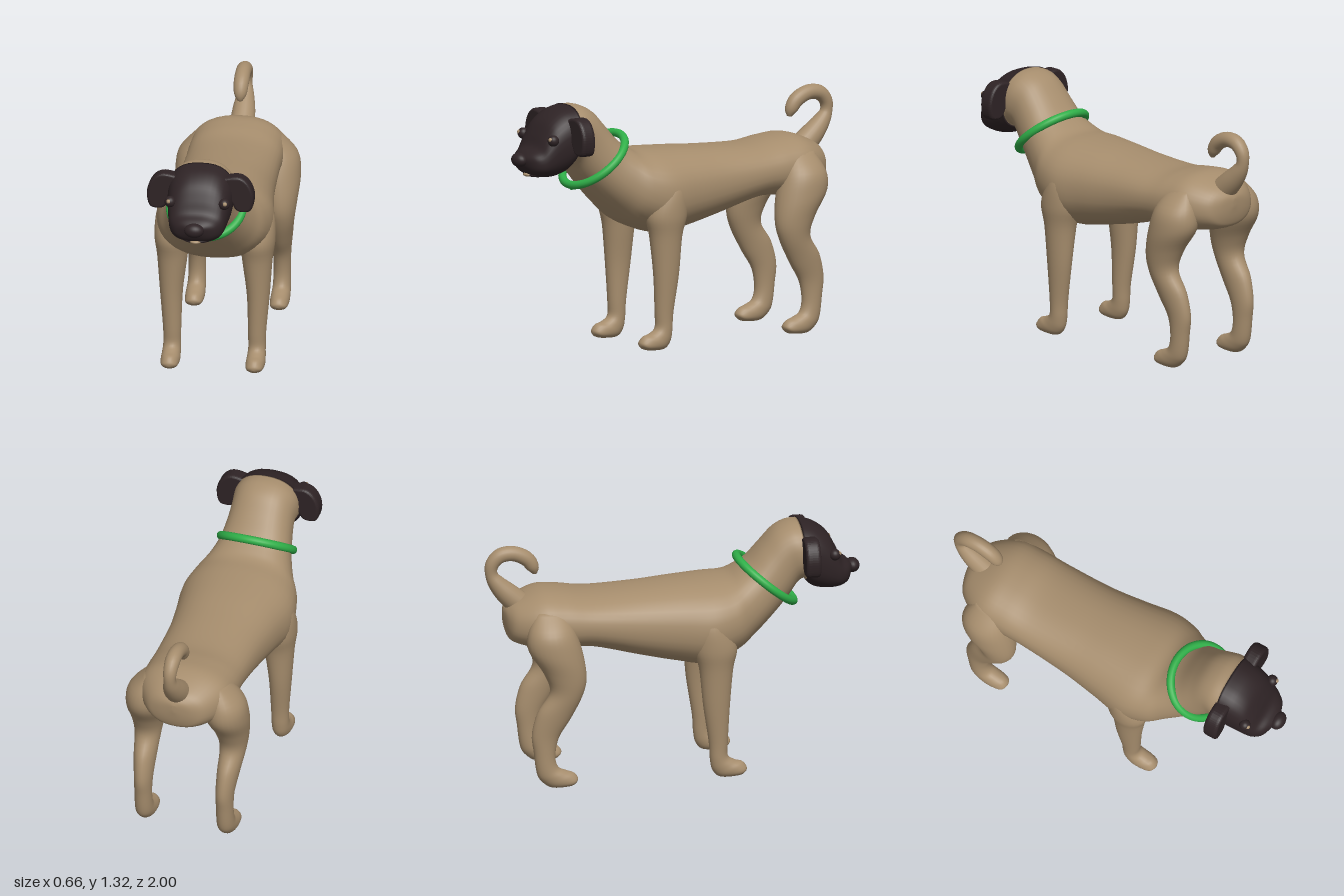
import * as THREE from 'three';

const tan = new THREE.MeshStandardMaterial({ name: 'tan coat', color: 0xa68d6d });
const dark = new THREE.MeshStandardMaterial({ name: 'dark mask', color: 0x2e2325 });
const green = new THREE.MeshStandardMaterial({ name: 'green collar', color: 0x2fae48 });

// Catmull-Rom interpolation through rows of numbers
function smoothRows(rows, steps) {
  const out = [];
  for (let i = 0; i < rows.length - 1; i++) {
    const [a, b, c, d] = [-1, 0, 1, 2].map(k => rows[Math.min(rows.length - 1, Math.max(0, i + k))]);
    for (let s = 0; s < steps; s++) {
      const t = s / steps;
      out.push(b.map((v, k) => v + 0.5 * t * (c[k] - a[k]
        + t * (2 * a[k] - 5 * v + 4 * c[k] - d[k] + t * (3 * (v - c[k]) + d[k] - a[k])))));
    }
  }
  out.push(rows[rows.length - 1]);
  return out;
}

// Skin over oval sections; each row is [z1, y1, z2, y2, halfWidth, xCentre]
function loft(rows, { power = 2, steps = 5, sides = 36 } = {}) {
  const rings = smoothRows(rows, steps), pos = [], index = [];
  const bend = v => Math.sign(v) * Math.abs(v) ** (2 / power);
  for (const [z1, y1, z2, y2, w, x = 0] of rings) {
    for (let j = 0; j < sides; j++) {
      const a = j / sides * Math.PI * 2, u = bend(Math.sin(a)) / 2;
      pos.push(x + bend(Math.cos(a)) * w, (y1 + y2) / 2 + (y1 - y2) * u, (z1 + z2) / 2 + (z1 - z2) * u);
    }
  }
  for (let i = 0; i < rings.length - 1; i++) {
    for (let j = 0; j < sides; j++) {
      const a = i * sides + j, b = i * sides + (j + 1) % sides;
      index.push(a, b, b + sides, a, b + sides, a + sides);
    }
  }
  // end caps
  const last = (rings.length - 1) * sides;
  for (let j = 1; j < sides - 1; j++) {
    index.push(0, j + 1, j, last, last + j, last + j + 1);
  }
  const g = new THREE.BufferGeometry();
  g.setAttribute('position', new THREE.Float32BufferAttribute(pos, 3));
  g.setIndex(index);
  g.computeVertexNormals();
  return g;
}

export function createModel() {
  const model = new THREE.Group();
  model.name = 'dog';
  const add = (name, geometry, material, x = 0, y = 0, z = 0) => {
    const m = new THREE.Mesh(geometry, material);
    m.name = name;
    m.position.set(x, y, z);
    model.add(m);
    return m;
  };
  const ball = (name, material, r, at, scale = [1, 1, 1]) =>
    add(name, new THREE.SphereGeometry(r, 24, 16), material, ...at).scale.set(...scale);

  // Torso and neck, rump to back of skull
  const seam = [0.67, 1.32, 0.70, 1.0, 0.175];
  add('body', loft([
    [-0.905, 0.92, -0.905, 0.88, 0.01],
    [-0.89, 0.95, -0.89, 0.80, 0.10],
    [-0.84, 0.99, -0.86, 0.76, 0.17],
    [-0.72, 1.035, -0.75, 0.73, 0.24],
    [-0.6, 1.03, -0.6, 0.72, 0.25],
    [-0.45, 1.01, -0.45, 0.72, 0.25],
    [-0.2, 1.02, -0.2, 0.655, 0.26],
    [0, 1.035, 0, 0.61, 0.285],
    [0.18, 1.045, 0.15, 0.59, 0.31],
    [0.28, 1.05, 0.32, 0.65, 0.285],
    [0.34, 1.08, 0.42, 0.725, 0.24],
    [0.40, 1.125, 0.53, 0.83, 0.20],
    [0.47, 1.205, 0.61, 0.92, 0.178],
    [0.54, 1.28, 0.66, 0.99, 0.17],
    [0.61, 1.315, 0.69, 1.01, 0.175],
    seam,
  ], { power: 2.25 }), tan);

  // Dark face and muzzle
  add('face', loft([
    seam,
    [0.75, 1.30, 0.73, 0.97, 0.172],
    [0.82, 1.25, 0.78, 0.953, 0.162],
    [0.862, 1.18, 0.83, 0.95, 0.152],
    [0.89, 1.12, 0.88, 0.957, 0.138],
    [0.93, 1.09, 0.92, 0.975, 0.105],
    [0.955, 1.065, 0.94, 1.0, 0.05],
    [0.956, 1.04, 0.95, 1.02, 0.01],
  ], { power: 2.5 }), dark);
  ball('nose', dark, 0.05, [0, 1.05, 0.962], [1.04, 0.76, 0.76]);
  ball('lowerLip', dark, 0.08, [0, 0.968, 0.86], [1, 0.2, 0.75]);
  ball('tongue', tan, 0.03, [0, 0.968, 0.905], [1, 0.4, 0.9]);

  // Drooping ears
  const flap = new THREE.Shape();
  flap.moveTo(0.13, 1.25);
  flap.splineThru([[0.2, 1.26], [0.245, 1.23], [0.268, 1.17], [0.26, 1.105], [0.235, 1.092],
    [0.2, 1.098], [0.175, 1.14], [0.13, 1.2]].map(p => new THREE.Vector2(...p)));
  const earShape = new THREE.ExtrudeGeometry(flap, {
    depth: 0.04, bevelThickness: 0.02, bevelSize: 0.015, bevelSegments: 5, curveSegments: 5,
  });

  for (const [side, s] of [['left', 1], ['right', -1]]) {
    const ear = earShape.clone();
    if (s < 0) { // turning half round mirrors the flap, as its outline is symmetric in depth
      ear.translate(0, 0, -0.02).rotateY(Math.PI).translate(0, 0, 0.02);
    }
    add(side + 'Ear', ear, dark, 0, 0, 0.685);
    ball(side + 'Eye', dark, 0.03, [s * 0.143, 1.16, 0.842]);
    ball(side + 'EyeGlint', tan, 0.012, [s * 0.149, 1.168, 0.863]);

    // Front leg, shoulder to toes
    const leg = rows => loft(rows.map(r => [...r.slice(0, 5), s * (r[5] ?? 0.225)]), { sides: 28 });
    add(side + 'FrontLeg', leg([
      [0.22, 0.96, 0.10, 0.96, 0.03, 0.22],
      [0.25, 0.85, 0.08, 0.85, 0.08, 0.228],
      [0.30, 0.72, 0.07, 0.72, 0.093, 0.227],
      [0.28, 0.6, 0.10, 0.6, 0.08],
      [0.262, 0.4, 0.12, 0.4, 0.06, 0.23],
      [0.252, 0.2, 0.15, 0.2, 0.048],
      [0.252, 0.12, 0.157, 0.10, 0.046],
      [0.29, 0.09, 0.17, 0.04, 0.049],
      [0.33, 0.078, 0.21, 0.003, 0.05],
      [0.352, 0.05, 0.30, 0.004, 0.04],
      [0.352, 0.03, 0.34, 0.015, 0.008],
    ]), tan);

    // Hind leg, thigh to toes
    add(side + 'HindLeg', leg([
      [-0.61, 0.96, -0.76, 0.96, 0.03, 0.19],
      [-0.56, 0.86, -0.81, 0.86, 0.10, 0.212],
      [-0.52, 0.73, -0.81, 0.76, 0.112, 0.22],
      [-0.505, 0.6, -0.735, 0.64, 0.088, 0.232],
      [-0.53, 0.5, -0.70, 0.53, 0.07, 0.235],
      [-0.59, 0.38, -0.765, 0.42, 0.058, 0.23],
      [-0.65, 0.28, -0.795, 0.3, 0.048],
      [-0.67, 0.18, -0.785, 0.2, 0.045],
      [-0.655, 0.115, -0.77, 0.09, 0.047],
      [-0.61, 0.09, -0.745, 0.04, 0.05],
      [-0.57, 0.075, -0.69, 0.003, 0.05],
      [-0.55, 0.05, -0.6, 0.004, 0.04],
      [-0.552, 0.03, -0.565, 0.015, 0.008],
    ]), tan);
  }

  // Curled tail: rows of [z, y, radius] turned into sections across the path
  const path = smoothRows([
    [-0.78, 0.92, 0.07], [-0.88, 1.01, 0.06], [-0.94, 1.075, 0.045], [-0.967, 1.125, 0.033],
    [-0.963, 1.18, 0.036], [-0.92, 1.225, 0.04], [-0.85, 1.232, 0.04],
    [-0.78, 1.2, 0.04], [-0.745, 1.15, 0.033], [-0.735, 1.115, 0.012],
  ], 4);
  add('tail', loft(path.map(([z, y, r], i) => {
    const a = path[Math.max(0, i - 1)], b = path[Math.min(path.length - 1, i + 1)];
    const dz = b[0] - a[0], dy = b[1] - a[1], k = r / Math.hypot(dz, dy);
    return [z - dy * k, y + dz * k, z + dy * k, y - dz * k, r];
  }), { steps: 1, sides: 24 }), tan);

  // Collar with its small ring
  add('collar', new THREE.TorusGeometry(0.193, 0.022, 16, 64), green, 0, 1.01, 0.495).rotation.x = -0.88;
  add('collarRing', new THREE.TorusGeometry(0.014, 0.005, 8, 20), green, 0, 0.876, 0.635);
  return model;
}
